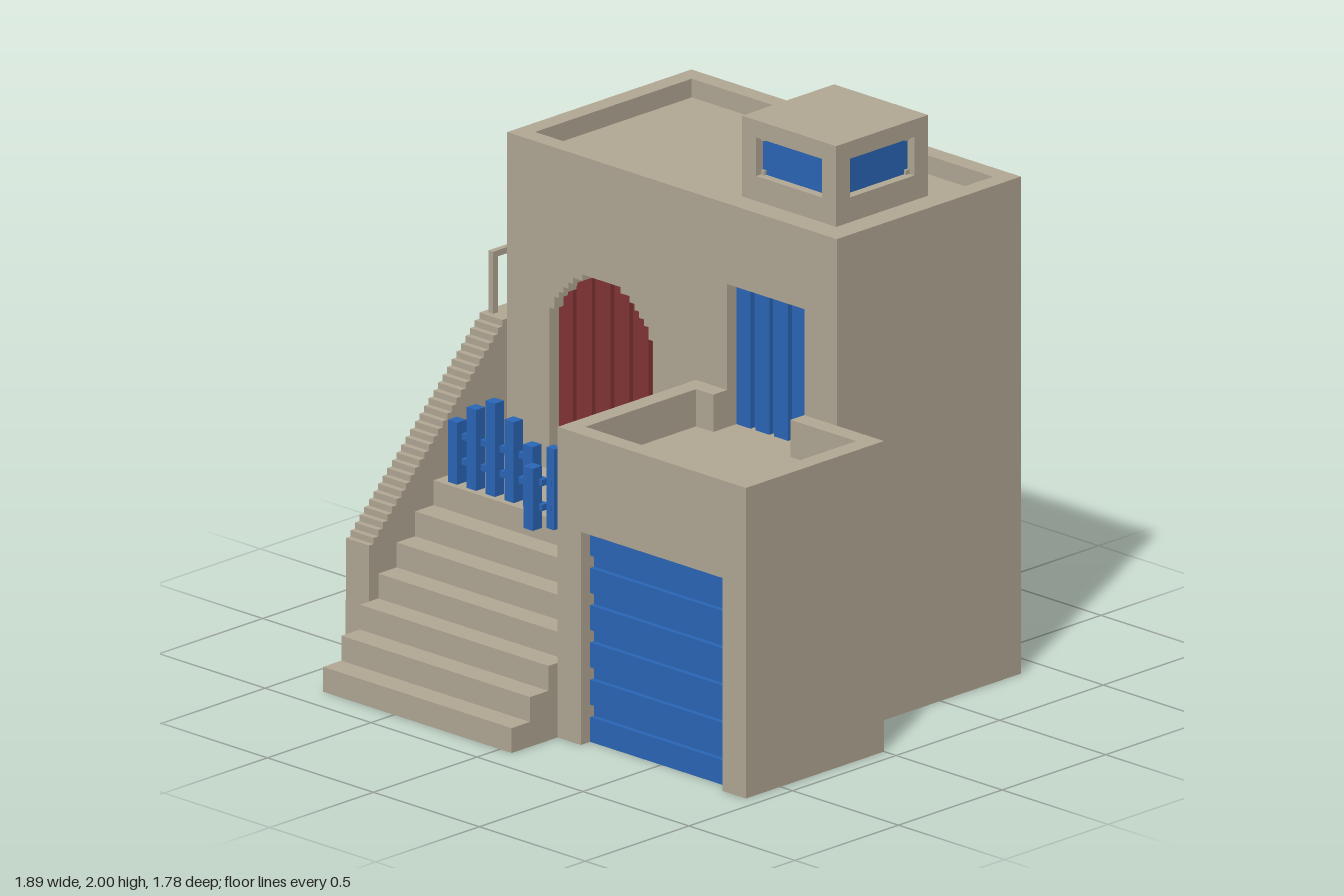
import * as THREE from 'three';

const U = 1 / 45; // small block size that steps and slats follow

export function createModel() {
  const mat = (name, color) => {
    const m = new THREE.MeshStandardMaterial({ color });
    m.name = name;
    return m;
  };
  const stone = mat('sandstone', 0xb3a996);
  const blue = mat('blue paint', 0x2a67b9);
  const red = mat('red wood', 0x833435);

  const model = new THREE.Group();
  const group = (name, parent = model) => {
    const g = new THREE.Group();
    g.name = name;
    parent.add(g);
    return g;
  };
  // Box given by its limits on each axis
  const box = (parent, name, m, x0, x1, y0, y1, z0, z1) => {
    const mesh = new THREE.Mesh(new THREE.BoxGeometry(x1 - x0, y1 - y0, z1 - z0), m);
    mesh.position.set((x0 + x1) / 2, (y0 + y1) / 2, (z0 + z1) / 2);
    mesh.name = name;
    parent.add(mesh);
    return mesh;
  };
  const pts = (a) => a.map(([x, y]) => new THREE.Vector2(x, y));
  const rect = (x0, x1, y0, y1) => pts([[x0, y0], [x1, y0], [x1, y1], [x0, y1]]);
  // Wall of given thickness with openings, its back at z0
  const wall = (parent, name, outline, holes, z0, depth) => {
    const shape = new THREE.Shape(outline);
    holes.forEach((h) => shape.holes.push(new THREE.Path(h)));
    const mesh = new THREE.Mesh(new THREE.ExtrudeGeometry(shape, { depth, bevelEnabled: false }), stone);
    mesh.position.z = z0;
    mesh.name = name;
    parent.add(mesh);
    return mesh;
  };

  const T = 3 * U; // wall thickness
  const xL = -0.835, xR = 0.72, zB = -0.889, H = 1.778;
  const gL = 0.055, gR = 0.943, gF = 0.667, gH = 1.111, gFloor = 0.978;
  const porch = 0.622;

  // Stepped outline of the arched door
  const aX = -0.635, cols = 22;
  const archTop = (i) => {
    const dx = (i + 0.5 - cols / 2) * U;
    return Math.round((1.115 + Math.sqrt(0.06 - dx * dx)) / U) * U;
  };
  const arch = [[aX, porch]];
  for (let i = 0; i < cols; i++) {
    if (i === 0 || archTop(i) !== archTop(i - 1)) {
      if (i) arch.push([aX + i * U, archTop(i - 1)]);
      arch.push([aX + i * U, archTop(i)]);
    }
  }
  arch.push([aX + cols * U, archTop(cols - 1)], [aX + cols * U, porch]);

  // Main house with parapet roof
  const house = group('house');
  const tX0 = 0.203, tX1 = 0.567, tTop = 1.49;
  box(house, 'houseCore', stone, xL, xR, 0, H - T, zB, -T);
  wall(house, 'frontWall', rect(xL, xR, 0, H), [pts(arch), rect(tX0, tX1, gFloor, tTop)], -T, T);
  box(house, 'backParapet', stone, xL, xR, H - T, H, zB, zB + T);
  box(house, 'leftParapet', stone, xR - T, xR, H - T, H, zB + T, -T);
  box(house, 'rightParapet', stone, xL, xL + T, H - T, H, zB + T, -T);

  // Arched door: columns of boards with grooves between
  const archDoor = group('archedDoor');
  for (let i = 0; i < cols; i++) {
    const depth = i % 4 === 3 ? 0.004 : U;
    box(archDoor, 'doorBoard', red, aX + i * U, aX + (i + 1) * U, porch, archTop(i), -T, -T + depth);
  }

  // Terrace door
  const terraceDoor = group('terraceDoor');
  box(terraceDoor, 'doorBack', blue, tX0, tX1, gFloor, tTop, -T, -T + 0.004);
  for (let i = 0; i < 4; i++) {
    const x = tX0 + i * 4 * U;
    box(terraceDoor, 'doorBoard', blue, x, x + 3 * U, gFloor, tTop, -T, -T + U);
  }

  // Garage with roof terrace
  const garage = group('garage');
  const dL = 0.165, dR = 0.833, dTop = 0.762;
  box(garage, 'garageCore', stone, gL, gR, 0, gFloor, 0, gF - T);
  wall(garage, 'garageFront',
    pts([[gL, 0], [dL, 0], [dL, dTop], [dR, dTop], [dR, 0], [gR, 0], [gR, gH], [gL, gH]]), [], gF - T, T);
  box(garage, 'rightParapet', stone, gL, gL + T, gFloor, gH, 0, gF - T);
  box(garage, 'leftParapet', stone, gR - T, gR, gFloor, gH, 0, gF - T);
  box(garage, 'backParapet', stone, gL + T, tX0, gFloor, gH, 0, T);
  box(garage, 'backParapet', stone, tX1, gR - T, gFloor, gH, 0, T);

  // Garage door slats
  const garageDoor = group('garageDoor');
  box(garageDoor, 'doorBack', blue, dL, dR, 0, dTop, gF - T, gF - T + 0.004);
  for (let i = 0; i < 6; i++) {
    const y = i * 6 * U;
    box(garageDoor, 'doorSlat', blue, dL, dR, y, Math.min(y + 4 * U, dTop), gF - T, gF - T + U);
  }

  // Front steps up to the porch
  const steps = group('frontSteps');
  for (let k = 0; k < 7; k++) {
    const s = 4 * U;
    box(steps, 'step', stone, xL, gL, k * s, (k + 1) * s, 0, 0.889 - k * s);
  }

  // Side wall with a finely stepped slope, cut from one profile
  const sX = -0.945;
  const side = [[0.889, 0], [0.889, gH]];
  for (let i = 0; i < 30; i++) {
    const y = gH - i * U;
    if (i) side.push([-i * U, y]);
    side.push([-(i + 1) * U, y]);
  }
  side.push([-gF, 0]);
  const sideWall = wall(model, 'sideWall', pts(side), [], 0, xL - sX);
  sideWall.rotation.y = Math.PI / 2;
  sideWall.position.set(sX, 0, 0);

  // Railing on the side wall
  const railing = group('sideRailing');
  for (let k = 0; k < 5; k++) {
    const z = -0.867 + k * 0.211;
    box(railing, 'railingPost', stone, -0.924, -0.902, gH, 1.311, z, z + U);
  }
  box(railing, 'handrail', stone, -0.924, -0.902, 1.311, 1.333, -0.867, 0);

  // Roof cabin with a window on each side
  const cabin = group('roofCabin');
  cabin.position.set(0.277, 0, -0.445);
  const c = 0.222, inset = 0.036, w = 0.156, wy0 = 1.8, wy1 = 1.938;
  const q = c - inset;
  box(cabin, 'cabinRoof', stone, -q, q, 1.95, 2, -q, q);
  for (let k = 0; k < 4; k++) {
    const face = group('cabinSide', cabin);
    face.rotation.y = k * Math.PI / 2;
    wall(face, 'cabinWall', rect(-c, c, H - T, 2), [rect(-w, w, wy0, wy1)], q, inset);
    box(face, 'windowPane', blue, -w, w, wy0, wy1, q - 0.004, q + 0.002);
    for (const x of [-w, w - 0.016])
      for (const y of [wy0, wy1 - 0.016])
        box(face, 'windowCorner', stone, x, x + 0.016, y, y + 0.016, q, q + 0.012);
  }

  // Porch fences
  const tops = [0.844, 0.911, 0.956, 0.911, 0.844];
  const railY = [0.689, 0.778];
  const straight = group('straightFence');
  tops.forEach((top, i) => {
    const x = -0.79 + i * 4 * U;
    box(straight, 'picket', blue, x, x + 2 * U, porch, top, 0.289, 0.333);
  });
  railY.forEach((y) => box(straight, 'fenceRail', blue, -0.79, -0.39, y, y + U, 0.289, 0.311));

  const diagonal = group('diagonalFence');
  const post = (name, x, z, y0, y1, s) => box(diagonal, name, blue, x - s, x + s, y0, y1, z - s, z + s);
  tops.forEach((top, i) => {
    const x = -0.258 + i * 0.0618, z = 0.467 - i * 0.0612;
    const shifts = i % 4 ? [-U / 2, U / 2] : [0];
    shifts.forEach((d) => post('picket', x + d, z - d, porch, top, i % 4 ? 0.018 : U));
  });
  railY.forEach((y) => {
    for (let i = 0; i <= 11; i++) post('fenceRail', -0.258 + i * U, 0.467 - i * U, y, y + U, 0.015);
  });

  return model;
}
